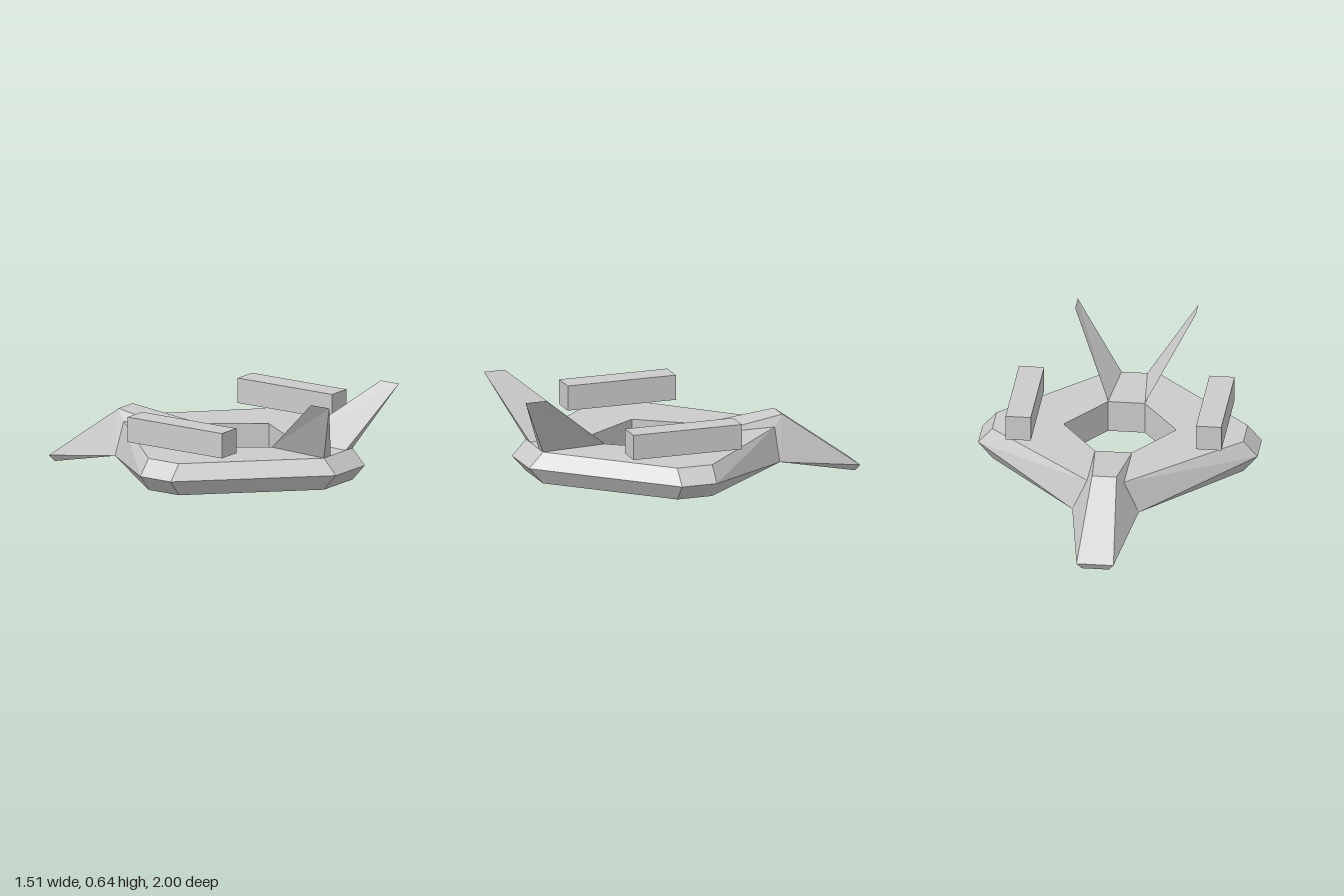
import * as THREE from 'three';

const material = new THREE.MeshStandardMaterial({ color: 0xcccccc, flatShading: true });

// Fans each polygon of the +x half into triangles; optionally adds the mirrored half
function facetMesh(name, polygons, mirror = true) {
  const positions = [];
  const flip = ([x, y, z]) => [-x, y, z];
  const same = (p, q) => p.every((v, i) => v === q[i]);
  for (const poly of polygons) {
    for (let i = 1; i < poly.length - 1; i++) {
      const [a, b, c] = [poly[0], poly[i], poly[i + 1]];
      if (same(a, b) || same(b, c) || same(a, c)) continue;
      positions.push(...a, ...b, ...c);
      if (mirror) positions.push(...flip(a), ...flip(c), ...flip(b));
    }
  }
  const geometry = new THREE.BufferGeometry();
  geometry.setAttribute('position', new THREE.Float32BufferAttribute(positions, 3));
  geometry.computeVertexNormals();
  const mesh = new THREE.Mesh(geometry, material);
  mesh.name = name;
  return mesh;
}

const onCentre = ([, y, z]) => [0, y, z];

// Bevelled hexagonal ring: five-point sections from front centre to back centre
function createHull() {
  const top = 0.295, middle = 0.21, bottom = 0.12;
  const section = (inner, outer, rim) => [
    [inner[0], bottom, inner[1]],
    [inner[0], top, inner[1]],
    [outer[0], top, outer[1]],
    [rim[0], middle, rim[1]],
    [outer[0], bottom, outer[1]],
  ];
  const front = section([0.1, 0.46], [0.135, 0.83], [0.135, 0.91]);
  const sideFront = section([0.305, 0.16], [0.68, 0.26], [0.757, 0.26]);
  const sideBack = section([0.305, 0.16], [0.68, 0.06], [0.757, 0.06]);
  // At the nose the rim drops to meet the underside
  const back = section([0.1, -0.145], [0.1, -0.51], [0.18, -0.51]);
  back[3] = [0.18, bottom, -0.51];
  back[4] = [0.18, bottom, -0.51];

  const sections = [front.map(onCentre), front, sideFront, sideBack, back, back.map(onCentre)];
  const polygons = [];
  for (let s = 0; s < sections.length - 1; s++) {
    const a = sections[s], b = sections[s + 1];
    for (let k = 0; k < 5; k++) {
      const n = (k + 1) % 5;
      polygons.push([b[k], a[k], a[n], b[n]]);
    }
  }
  return facetMesh('hullRing', polygons);
}

// Drooping nose with a raised ridge
function createNose() {
  const ridge = [0.1, 0.295, -0.145];
  const peak = [0.066, 0.352, -0.567];
  const shoulder = [0.1, 0.295, -0.51];
  const cheek = [0.18, 0.12, -0.51];
  const tip = [0.1, 0.035, -1];
  const chin = [0.075, 0, -0.98];
  return facetMesh('nose', [
    [onCentre(ridge), ridge, peak, onCentre(peak)],
    [ridge, shoulder, peak],
    [peak, shoulder, cheek],
    [peak, cheek, tip],
    [onCentre(peak), peak, tip, onCentre(tip)],
    [cheek, chin, tip],
    [onCentre(cheek), onCentre(chin), chin, cheek],
    [onCentre(tip), tip, chin, onCentre(chin)],
  ]);
}

// Splayed tail fins, wedge-shaped and tapering to a sharp tip edge
function createFins() {
  const root = [0.1, 0.295, 0.465];
  const inner = [0.07, 0.295, 0.83];
  const outer = [0.135, 0.295, 0.83];
  const tipA = [0.327, 0.637, 0.88];
  const tipB = [0.327, 0.637, 1];
  return facetMesh('tailFins', [
    [root, tipA, tipB, outer],
    [root, inner, tipB, tipA],
    [inner, outer, tipB],
    [root, outer, inner],
  ]);
}

export function createModel() {
  const model = new THREE.Group();
  model.name = 'spacecraft';
  model.add(createHull(), createNose(), createFins());

  // Engine pods hovering above each side
  for (const [name, side] of [['leftPod', 1], ['rightPod', -1]]) {
    const pod = new THREE.Mesh(new THREE.BoxGeometry(0.137, 0.138, 0.62), material);
    pod.name = name;
    pod.position.set(side * 0.516, 0.405, 0.165);
    model.add(pod);
  }
  return model;
}
